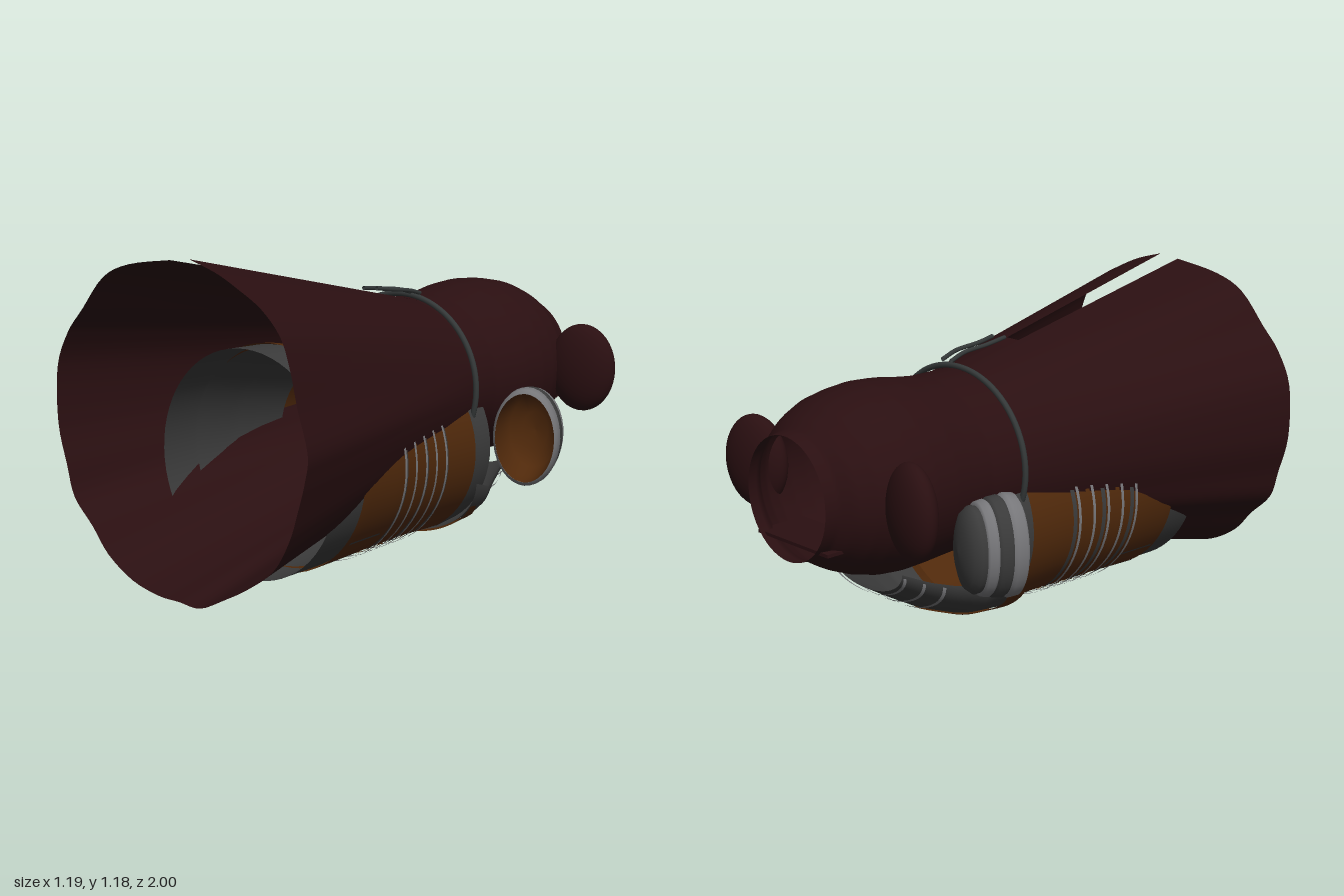
import * as THREE from 'three';
import { ParametricGeometry } from 'three/addons/geometries/ParametricGeometry.js';

const paint = (name, color) => new THREE.MeshStandardMaterial({ name, color, side: THREE.DoubleSide });

// Linear lookup in a table whose rows start with z (descending)
function at(table, z) {
  let i = 0;
  while (i < table.length - 2 && z < table[i + 1][0]) i++;
  const a = table[i], b = table[i + 1];
  const t = THREE.MathUtils.clamp((a[0] - z) / (a[0] - b[0]), 0, 1);
  return a.map((v, k) => v + (b[k] - v) * t);
}

// Point on the ellipse section [z, halfWidth, bottom, top]
function onSection([z, rx, bottom, top], angle, grow, out) {
  const ry = (top - bottom) / 2;
  return out.set((rx + grow) * Math.cos(angle), (top + bottom) / 2 + (ry + grow) * Math.sin(angle), z);
}

export function createModel() {
  const root = new THREE.Group();
  const cloth = paint('maroon cloth', 0x2a0f11);
  const bronze = paint('brown plate', 0x50290b);
  const grey = paint('dark grey plate', 0x3b3b3b);
  const silver = paint('silver trim', 0x77777a);
  const cord = paint('cord grey', 0x343838);

  const add = (name, geometry, material, parent = root) => {
    const mesh = new THREE.Mesh(geometry, material);
    mesh.name = name;
    parent.add(mesh);
    return mesh;
  };
  const sheet = (name, fn, nu, nv, material) => add(name, new ParametricGeometry(fn, nu, nv), material);
  const shell = (name, table, z0, z1, grow, material, nv = 8) => sheet(name, (u, v, out) =>
    onSection(at(table, z0 + (z1 - z0) * v), u * Math.PI * 2, grow, out), 64, nv, material);

  // Robe: ruled from the round neck to a wavy hem, split along the top
  const hem = new THREE.SplineCurve([
    [.08, 1.185], [.2, 1.15], [.3, 1.105], [.4, 1.05], [.48, .97], [.52, .87], [.55, .75], [.592, .61],
    [.58, .52], [.55, .42], [.51, .31], [.44, .2], [.33, .12], [.22, .06], [.1, .005], [0, .008],
    [-.1, .01], [-.23, .04], [-.35, .11], [-.43, .2], [-.52, .29], [-.555, .4], [-.595, .55],
    [-.59, .75], [-.53, .88], [-.45, .97], [-.34, 1.09], [-.21, 1.145], [-.01, 1.175],
  ].map(([x, y]) => new THREE.Vector2(x, y)));
  const robePoint = (u, z, out) => {
    const h = hem.getPoint(u), a = Math.atan2(h.y - .59, h.x), t = (z + .2) / 1.2;
    return out.set(
      THREE.MathUtils.lerp(.337 * Math.cos(a), h.x, t),
      THREE.MathUtils.lerp(.6 + .32 * Math.sin(a), h.y, t), z);
  };
  sheet('robe', (u, v, out) => robePoint(u, -.2 + 1.2 * v, out), 112, 12, cloth);
  const p = new THREE.Vector3();
  sheet('robeBackSeam', (u, v, out) => {
    const z = -.2 + .3 * v;
    robePoint(0, z, p);
    return robePoint(1, z, out).lerp(p, u);
  }, 2, 4, cloth);

  // Hood with a short collar around its opening
  const hood = [
    [-.2, .337, .28, .92], [-.35, .335, .275, .92], [-.45, .345, .27, .932], [-.53, .355, .266, .945],
    [-.62, .36, .264, .95], [-.7, .355, .272, .943], [-.78, .34, .293, .928], [-.85, .31, .322, .9],
    [-.9, .273, .352, .87], [-.94, .225, .38, .84], [-1, .21, .385, .83],
  ];
  shell('hood', hood, -.2, -1, 0, cloth, 40);
  const fold = add('hoodFold', new THREE.BoxGeometry(.38, .012, .2), cloth);
  fold.position.set(0, .445, -.88);

  // Waist cord with two loose ends
  const ring = [];
  for (let i = 0; i < 40; i++)
    ring.push(onSection([-.205, .35, .27, .935], i / 40 * Math.PI * 2, 0, new THREE.Vector3()));
  add('cordLoop', new THREE.TubeGeometry(new THREE.CatmullRomCurve3(ring, true), 80, .011, 8, true), cord);
  for (const [x, end] of [[.04, .08], [.085, .06]]) {
    const path = new THREE.CatmullRomCurve3([
      [x, .945, -.2], [x + .01, .965, -.12], [x, .978, -.02], [x + .005, .99, end],
    ].map(q => new THREE.Vector3(...q)));
    add('cordEnd', new THREE.TubeGeometry(path, 16, .008, 6), cord);
  }

  // Torso armour wrapped around the body
  const torso = [
    [.66, .415, .01, .835], [.5, .42, .015, .83], [.3, .41, .025, .79],
    [0, .375, .03, .73], [-.2, .36, .022, .72], [-.28, .355, .03, .72],
  ];
  shell('waistPlate', torso, .66, .48, 0, grey);
  shell('torsoPlate', torso, .52, -.2, .006, bronze, 16);
  shell('torsoLining', torso, .5, .08, -.012, grey);
  shell('shoulderBand', torso, -.18, -.28, .008, grey);
  sheet('innerYoke', (u, v, out) => onSection(
    [-.2 - .07 * v, .35 - .07 * v, .03 + .03 * v, .71 - .1 * v], u * Math.PI * 2, 0, out), 48, 3, bronze);

  // Raised hoops across the belly
  for (let i = 0; i < 5; i++) {
    const z = .31 - i * .068;
    shell('bellyHoop', torso, z, z - .012, .02, silver, 1);
    shell('bellyHoopEdge', torso, z - .012, z - .03, .012, i % 2 ? bronze : grey, 1);
  }

  // Plate joints on the lower torso
  for (let i = -3; i <= 3; i++) {
    const a = -Math.PI / 2 + i * .3;
    sheet('plateJoint', (u, v, out) =>
      onSection(at(torso, .5 - .17 * v), a + (u - .5) * .025, .009, out), 1, 3, grey);
  }

  // Chest collar rising to the throat: [z, halfWidth, bottom, edge height]
  const collar = [
    [-.2, .36, .02, .25], [-.33, .325, .035, .21], [-.45, .26, .08, .22],
    [-.55, .225, .135, .25], [-.66, .2, .2, .3],
  ];
  const collarPoint = (u, z, grow, out) => {
    const [, rx, low, edge] = at(collar, z), a = (u - .5) * Math.PI;
    return out.set((rx + grow) * Math.sin(a), low - grow + (edge - low) * (1 - Math.cos(a)), z);
  };
  sheet('chestCollar', (u, v, out) => collarPoint(u, -.2 - .46 * v, 0, out), 40, 16, grey);
  sheet('chestPlate', (u, v, out) => {
    const zigzag = .03 * Math.abs((u * 9) % 2 - 1);
    const reach = .05 + .17 * Math.sin(u * Math.PI) ** 2;
    return collarPoint(.12 + .76 * u, -.19 - (reach + zigzag) * v, .006, out);
  }, 54, 6, bronze);
  for (const z of [-.5, -.575, -.65])
    sheet('throatTrim', (u, v, out) => collarPoint(u, z - .012 * v, .01, out), 32, 1, silver);

  // Crossing straps inside the torso
  for (const side of [-1, 1])
    for (const r of [.2, .172])
      sheet('innerStrap', (u, v, out) => {
        const a = .05 + 2.5 * u;
        return out.set(side * (.135 - r * Math.cos(a)), .4 + r * Math.sin(a), -.02 - .05 * v - .03 * side * u);
      }, 28, 1, silver);

  for (const side of [1, -1]) {
    const half = new THREE.Group();
    half.name = side > 0 ? 'leftSide' : 'rightSide';
    half.scale.x = side;
    root.add(half);

    // Hood ear
    const ear = add('ear', new THREE.SphereGeometry(1, 32, 20), cloth, half);
    ear.scale.set(.135, .172, .068);
    ear.position.set(.42, .615, -.805);
    ear.rotation.y = .22;

    // Shoulder cup: stacked domes open towards the arm
    const cup = new THREE.Group();
    cup.name = 'shoulderCup';
    cup.position.set(.45, .41, -.39);
    cup.rotation.y = .35;
    half.add(cup);
    const lathe = (name, profile, material) => {
      const g = new THREE.LatheGeometry(profile.map(q => new THREE.Vector2(...q)), 36);
      g.scale(.125, 1, .185).rotateX(-Math.PI / 2);
      add(name, g, material, cup);
    };
    lathe('cupRim', [[.92, -.03], [1, -.02], [1.02, .015], [.95, .03]], silver);
    lathe('cupBand', [[.95, .025], [1, .04], [.98, .07], [.9, .08]], grey);
    lathe('cupRidge', [[.9, .078], [.95, .09], [.92, .115], [.84, .12]], silver);
    lathe('cupDome', [[.84, .118], [.86, .14], [.75, .165], [.5, .18], [.25, .187], [.001, .19]], grey);
    lathe('cupLining', [[.92, -.028], [.88, .04], [.75, .1], [.4, .13], [.001, .135]], bronze);
  }
  return root;
}
